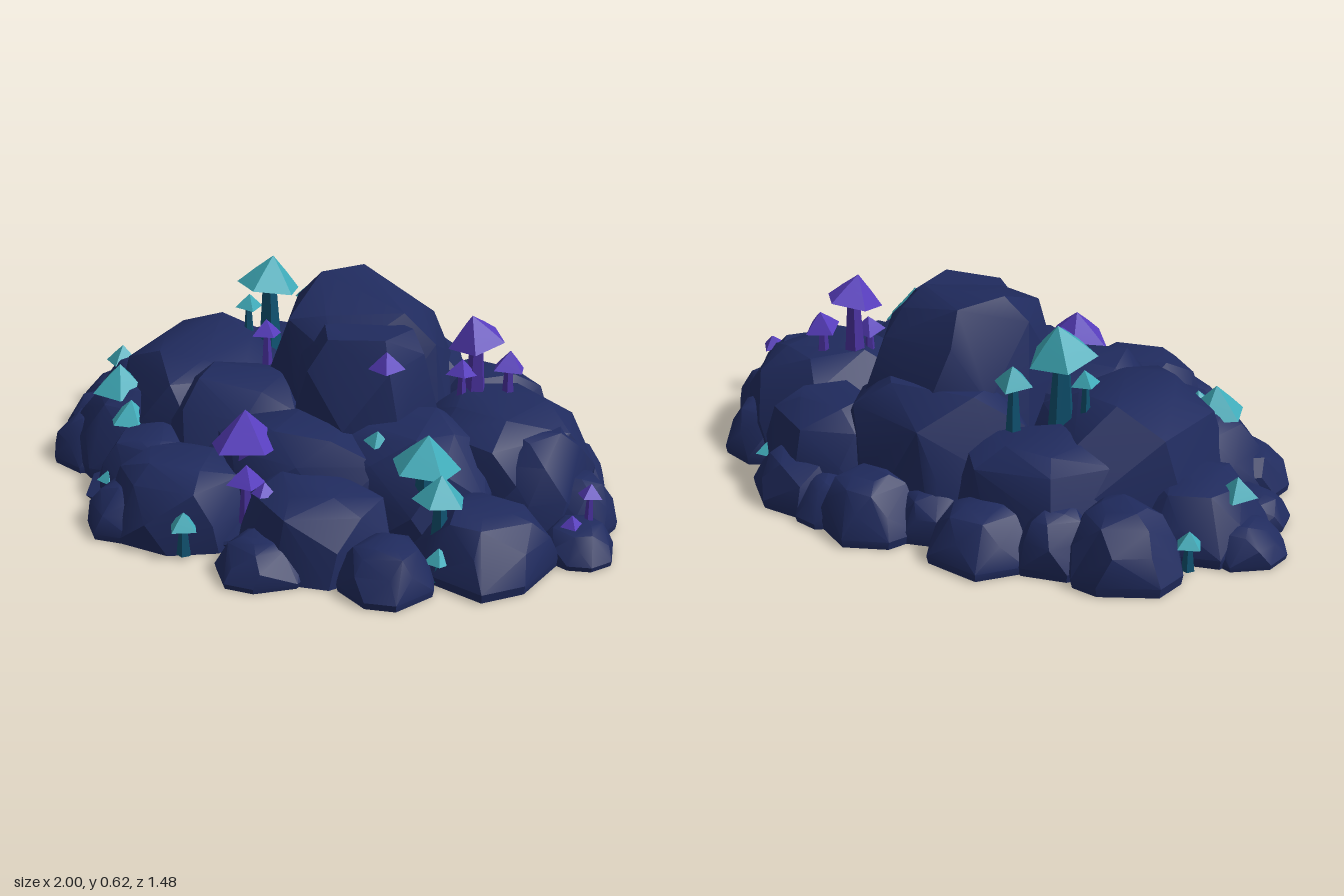
import * as THREE from 'three';
import { toCreasedNormals } from 'three/addons/utils/BufferGeometryUtils.js';
import { ConvexGeometry } from 'three/addons/geometries/ConvexGeometry.js';

function material(name, color) {
  const m = new THREE.MeshStandardMaterial({ color });
  m.name = name;
  return m;
}

// small seeded generator
function seeded(seed) {
  let s = seed * 7919 + 17;
  return () => {
    s = (s * 16807) % 2147483647;
    return s / 2147483647;
  };
}

// ring radius and height of the three boulder types
const BLOCKY = [[1, 0], [1, 0.55], [0.88, 0.86], [0.62, 1]];
const STEEP = [[1, 0], [0.97, 0.42], [0.8, 0.8], [0.48, 0.98]];
const SLOPED = [[1, 0.15], [0.84, 0.55], [0.62, 0.88], [0.36, 1]];

// faceted boulder: hull of jittered rings on a flat foot
function boulderGeometry(profile, rx, rz, h, seed, slopeX = 0, slopeZ = 0) {
  const rnd = seeded(seed), points = [];
  profile.forEach(([r, y], k) => {
    const turn = rnd() * 6, n = 8 - k;
    for (let i = 0; i < n; i++) {
      const a = turn + ((i + (rnd() - 0.5) * 0.5) / n) * Math.PI * 2;
      const q = r * (0.92 + rnd() * 0.14);
      const x = Math.cos(a) * q * rx, z = Math.sin(a) * q * rz;
      const jitter = k ? (rnd() - 0.5) * 0.08 : 0;
      points.push(new THREE.Vector3(x, h * (y + jitter) + (x * slopeX + z * slopeZ) * y, z));
      if (k === 0) points.push(new THREE.Vector3(x * 0.97, 0, z * 0.97));
    }
  });
  return toCreasedNormals(new ConvexGeometry(points), 0.55);
}

// x, z, radius x, radius z, height
const TIER = [
  [-0.45, -0.1, 0.3, 0.37, 0.38],
  [-0.22, 0.08, 0.3, 0.26, 0.36],
  [0.54, -0.13, 0.3, 0.31, 0.34],
  [0.68, -0.08, 0.17, 0.22, 0.29],
  [0.36, 0.12, 0.28, 0.26, 0.33],
  [0.05, -0.36, 0.34, 0.23, 0.39],
  [-0.3, -0.4, 0.3, 0.21, 0.31],
  [0.38, -0.4, 0.22, 0.2, 0.3],
  [0.05, 0.24, 0.36, 0.2, 0.31],
  [-0.24, 0.43, 0.24, 0.22, 0.22],
  [0.19, 0.42, 0.24, 0.22, 0.23],
];

// rim boulders: x, z, radius, height
const RIM = [
  [-0.87, -0.25, 0.13, 0.1], [-0.7, -0.2, 0.23, 0.2], [-0.61, -0.5, 0.18, 0.2],
  [-0.42, -0.53, 0.14, 0.17], [-0.22, -0.58, 0.17, 0.16], [0.15, -0.58, 0.17, 0.17],
  [0.43, -0.5, 0.17, 0.16], [0.69, -0.27, 0.16, 0.16], [0.8, -0.08, 0.15, 0.16],
  [0.88, 0.1, 0.12, 0.1], [0.66, 0.28, 0.22, 0.19], [0.46, 0.52, 0.15, 0.14],
  [0.11, 0.59, 0.15, 0.11], [-0.37, 0.5, 0.15, 0.13], [-0.42, 0.28, 0.19, 0.2],
  [-0.59, 0.09, 0.23, 0.25], [-0.72, 0.14, 0.15, 0.14], [-0.82, -0.07, 0.13, 0.1],
  [0.29, -0.57, 0.12, 0.12], [-0.02, -0.53, 0.13, 0.14],
];

// mushrooms: x, z, tip height, cap radius
const TEAL = [
  [-0.31, -0.27, 0.605, 0.105], [-0.21, -0.38, 0.5, 0.06], [-0.38, -0.26, 0.47, 0.045],
  [0.48, 0.29, 0.375, 0.105], [0.56, 0.37, 0.3, 0.08], [0.59, 0.44, 0.11, 0.045],
  [-0.64, 0.12, 0.32, 0.09], [-0.55, 0.21, 0.25, 0.07], [-0.84, -0.22, 0.22, 0.06],
  [-0.78, -0.43, 0.13, 0.045], [-0.52, 0.4, 0.1, 0.035], [-0.13, 0.62, 0.145, 0.05],
  [0.59, -0.43, 0.12, 0.055], [0.3, 0.23, 0.33, 0.04],
];
const PURPLE = [
  [0.45, -0.16, 0.58, 0.09], [0.54, -0.2, 0.46, 0.06], [0.42, -0.12, 0.44, 0.05],
  [-0.06, 0.36, 0.37, 0.115], [-0.01, 0.46, 0.25, 0.06], [0.07, 0.5, 0.23, 0.04],
  [-0.2, -0.04, 0.49, 0.05], [0.28, 0.12, 0.53, 0.055], [0.9, 0.06, 0.21, 0.04],
  [0.87, 0.12, 0.13, 0.035],
];

function add(parent, name, geometry, mat) {
  const mesh = new THREE.Mesh(geometry, mat);
  mesh.name = name;
  parent.add(mesh);
  return mesh;
}

// flared stem under a tilted pyramid cap; small caps have fewer sides
function makeMushroom([x, z, tip, radius], seed, capMaterial, stemMaterial) {
  const rnd = seeded(seed);
  const mushroom = new THREE.Group();
  mushroom.name = 'mushroom';
  mushroom.position.set(x, 0, z);

  const capHeight = radius * 0.98, rim = tip - capHeight;
  const profile = [[0.001, 0.15], [1, 0], [0.52, 0.5], [0.001, 1]]
    .map(([r, y]) => new THREE.Vector2(r * radius, y * capHeight));
  const sides = radius > 0.065 ? 5 : 4;
  const cap = add(mushroom, 'cap', toCreasedNormals(new THREE.LatheGeometry(profile, sides), 0.3), capMaterial);
  cap.position.y = rim;
  cap.rotation.set((rnd() - 0.5) * 0.3, rnd() * 6, (rnd() - 0.5) * 0.3);

  const top = rim + capHeight * 0.35;
  const length = Math.min(top - 0.01, radius * 3 + 0.04);
  const stemGeometry = new THREE.CylinderGeometry(radius * 0.2, radius * 0.45, length, 5);
  const stem = add(mushroom, 'stem', toCreasedNormals(stemGeometry, 0.5), stemMaterial);
  stem.position.y = top - length / 2;
  stem.rotation.y = rnd() * 6;
  return mushroom;
}

export function createModel() {
  const group = new THREE.Group();
  const rock = material('navy rock', 0x202b5e);
  const tealCap = material('teal cap', 0x3fabb9);
  const tealStem = material('deep teal stem', 0x0f5270);
  const purpleCap = material('purple cap', 0x573dbd);
  const purpleStem = material('deep purple stem', 0x4a32a0);

  // rock mound: flat core, tilted crown with a shoulder, middle tier and rim
  const mound = new THREE.Group();
  mound.name = 'rockMound';
  group.add(mound);
  add(mound, 'moundCore', boulderGeometry(SLOPED, 0.78, 0.6, 0.14, 2), rock);
  add(mound, 'crown', boulderGeometry(BLOCKY, 0.28, 0.3, 0.585, 3, -0.18, -0.08), rock).position.set(0.08, 0, -0.16);
  add(mound, 'crownShoulder', boulderGeometry(BLOCKY, 0.23, 0.22, 0.53, 4), rock).position.set(0.15, 0, 0);
  TIER.forEach(([x, z, rx, rz, h], i) => {
    add(mound, 'tierBoulder', boulderGeometry(STEEP, rx, rz, h, i + 5), rock).position.set(x, 0, z);
  });
  RIM.forEach(([x, z, r, h], i) => {
    add(mound, 'rimBoulder', boulderGeometry(SLOPED, r, r, h, i + 20), rock).position.set(x, 0, z);
  });

  // mushroom clusters
  TEAL.forEach((spot, i) => group.add(makeMushroom(spot, i + 50, tealCap, tealStem)));
  PURPLE.forEach((spot, i) => group.add(makeMushroom(spot, i + 80, purpleCap, purpleStem)));

  return group;
}
